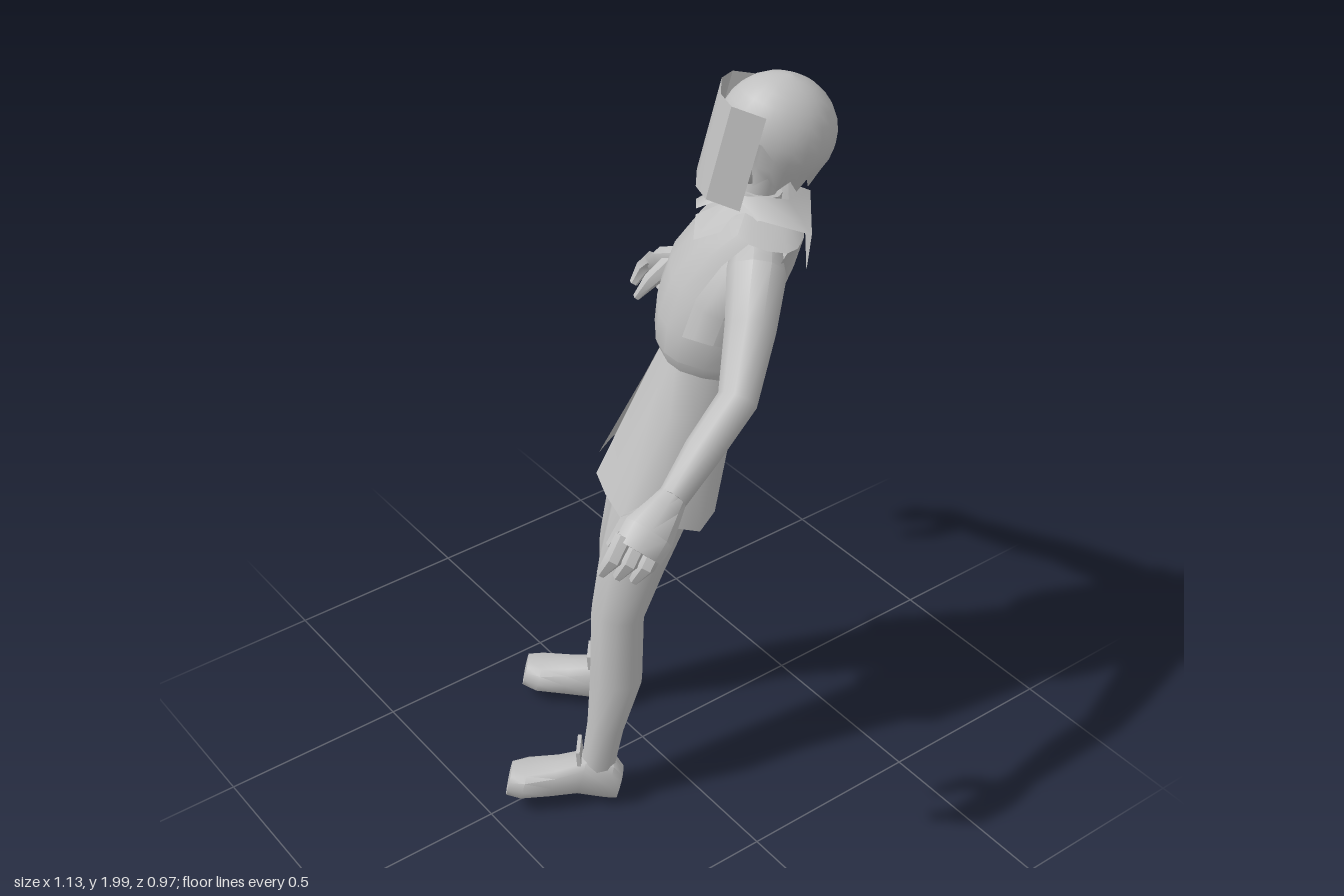
import * as THREE from 'three';
import { toCreasedNormals } from 'three/addons/utils/BufferGeometryUtils.js';

const grey = new THREE.MeshStandardMaterial({ color: 0xbfbfbf, side: THREE.DoubleSide });
grey.name = 'plain grey';

const V = (x, y, z) => new THREE.Vector3(x, y, z);

// Skin a list of equal-length rings; skip(i, j) leaves a quad open.
function loft(rings, { closed = true, skip = () => false, crease = 0.8 } = {}) {
  const n = rings[0].length;
  const pos = rings.flat().flatMap((p) => [p.x, p.y, p.z]);
  const index = [];
  for (let i = 0; i < rings.length - 1; i++) {
    for (let j = 0; j < (closed ? n : n - 1); j++) {
      if (skip(i, j)) continue;
      const a = i * n + j, b = i * n + ((j + 1) % n);
      index.push(a, b, b + n, a, b + n, a + n);
    }
  }
  if (closed) {
    [0, rings.length - 1].forEach((r, end) => {
      const c = V(0, 0, 0);
      rings[r].forEach((p) => c.addScaledVector(p, 1 / n));
      const k = pos.length / 3;
      pos.push(c.x, c.y, c.z);
      for (let j = 0; j < n; j++) {
        const a = r * n + j, b = r * n + ((j + 1) % n);
        if (end) index.push(k, a, b); else index.push(k, b, a);
      }
    });
  }
  const g = new THREE.BufferGeometry();
  g.setAttribute('position', new THREE.Float32BufferAttribute(pos, 3));
  g.setIndex(index);
  return toCreasedNormals(g, crease);
}

// Rings across a path of [x, y, z, ru, rv]; power below 1 squares the section,
// and a fixed axis keeps all rings parallel.
function limb(path, { sides = 10, ref = V(1, 0, 0), power = 1, axis, ...rest } = {}) {
  const pts = path.map((p) => V(p[0], p[1], p[2]));
  const bend = (c) => Math.sign(c) * Math.abs(c) ** power;
  const rings = path.map(([, , , ru, rv = ru], i) => {
    const along = pts[Math.min(i + 1, pts.length - 1)].clone().sub(pts[Math.max(i - 1, 0)]);
    const t = axis ?? along.normalize();
    const u = ref.clone().addScaledVector(t, -t.dot(ref)).normalize();
    const v = t.clone().cross(u);
    return Array.from({ length: sides }, (_, j) => {
      const a = (j / sides) * Math.PI * 2;
      return pts[i].clone().addScaledVector(u, ru * bend(Math.cos(a))).addScaledVector(v, rv * bend(Math.sin(a)));
    });
  });
  return loft(rings, rest);
}

// Level stack of [y, centre z, half width, half depth]
const stack = (rows, opt) => limb(
  rows.map(([y, cz, rx, rz]) => [0, y, cz, rx, rz]), { sides: 12, axis: V(0, 1, 0), ...opt });

// Open sheet: each row lists the left half up to the middle; the right half mirrors it.
const sheet = (rows, crease) => loft(
  rows.map((half) => [
    ...half.map(([x, y, z]) => V(x, y, z)),
    ...half.slice().reverse().map(([x, y, z]) => V(-x, y, z)),
  ]), { closed: false, crease });

export function createModel() {
  const model = new THREE.Group();
  const figure = new THREE.Group();
  figure.name = 'figure';
  model.add(figure);
  const add = (name, geometry) => {
    const m = new THREE.Mesh(geometry, grey);
    m.name = name;
    figure.add(m);
    return m;
  };

  // Torso under the clothes
  add('torso', stack([
    [0.92, 0.02, 0.1, 0.07], [1.0, 0.02, 0.15, 0.1], [1.15, 0.01, 0.145, 0.09], [1.3, 0.01, 0.14, 0.085],
    [1.45, 0, 0.15, 0.1], [1.6, -0.03, 0.15, 0.08], [1.67, -0.035, 0.1, 0.06],
  ]));

  // Short sleeveless vest with armholes and broad shoulders
  add('vest', stack([
    [1.3, 0.01, 0.172, 0.112], [1.33, 0.015, 0.185, 0.127], [1.4, 0.018, 0.188, 0.134], [1.5, 0.01, 0.178, 0.134],
    [1.6, -0.018, 0.182, 0.118], [1.685, -0.045, 0.215, 0.09], [1.71, -0.035, 0.1, 0.06],
  ], {
    sides: 16, power: 0.72, crease: 0.6,
    skip: (i, j) => i >= 2 && i <= 4 && [15, 0, 7, 8].includes(j),
  }));

  // Flared skirt, slit at the front
  add('skirt', sheet([
    [1.32, 0, 0.1, 0.145, 0.05, 0.135, -0.06, -0.09],
    [1.17, 0.004, 0.13, 0.168, 0.06, 0.155, -0.07, -0.1],
    [0.89, 0.046, 0.186, 0.22, 0.112, 0.2, -0.085, -0.12],
  ].map(([y, gap, fz, w, cz, bw, bz, back]) => [
    [gap, y, fz], [w * 0.6, y, fz * 0.6 + cz * 0.4], [w, y, cz], [w * 0.98, y, (cz + bz) / 2],
    [bw, y, bz], [bw * 0.5, y, back],
  ]), 1.3));

  // Wide collar with two lapels and a square back flap
  add('collar', sheet([
    [[0.012, 1.67, 0.07], [0.05, 1.72, 0.045], [0.065, 1.74, -0.01], [0.045, 1.74, -0.08]],
    [[0.015, 1.635, 0.115], [0.105, 1.615, 0.113], [0.12, 1.708, -0.02], [0.115, 1.7, -0.145]],
  ]));
  add('collarFlap', sheet([[[0.11, 1.7, -0.145]], [[0.11, 1.605, -0.158]]]));

  // Neck, choker, head
  add('neck', stack([[1.62, -0.01, 0.06, 0.06], [1.72, -0.005, 0.05, 0.05], [1.82, 0, 0.05, 0.055]]));
  add('neckBand', stack([[1.705, -0.005, 0.064, 0.066], [1.735, -0.005, 0.06, 0.062]]));
  add('face', stack([
    [1.735, 0.065, 0.03, 0.03], [1.76, 0.045, 0.06, 0.06], [1.81, 0.025, 0.085, 0.085],
    [1.88, 0.015, 0.095, 0.1], [1.95, 0.01, 0.085, 0.09],
  ]));

  // Hair cap with a jagged lower edge, trimmed above the face
  const hair = new THREE.SphereGeometry(1, 24, 10, 0, Math.PI * 2, 0, Math.PI * 0.72);
  const hp = hair.attributes.position;
  for (let i = 0; i < hp.count; i++) {
    const jag = i >= hp.count - 25 && i % 2 ? -0.2 : 0;
    const front = hp.getZ(i) > 0.25 && hp.getY(i) < 0;
    hp.setXYZ(i, hp.getX(i) * 0.115, 1.885 + (front ? 0 : hp.getY(i) + jag) * 0.135, hp.getZ(i) * 0.138 - 0.014);
  }
  hair.computeVertexNormals();
  add('hair', hair);

  // Curved face visor
  add('visor', sheet([1.72, 1.955].map((y) => [
    [0.122, y, 0.03], [0.1, y, 0.11], [0.045, y, 0.135],
  ]), 0.6));

  for (const s of [1, -1]) {
    const side = s > 0 ? 'left' : 'right';
    const part = (name, path, opt) => add(side + name, limb(path.map(([x, ...r]) => [x * s, ...r]), opt));
    const acrossZ = { ref: V(0, 0, 1) };

    // Arm and hand
    part('Arm', [
      [0.11, 1.63, -0.035, 0.06], [0.175, 1.605, -0.04, 0.07], [0.27, 1.515, -0.05, 0.06],
      [0.392, 1.395, -0.052, 0.047], [0.48, 1.3, 0.002, 0.044], [0.568, 1.218, 0.048, 0.034],
    ], acrossZ);
    part('Palm', [
      [0.555, 1.23, 0.042, 0.03], [0.59, 1.2, 0.06, 0.042, 0.034], [0.635, 1.16, 0.085, 0.06, 0.036],
      [0.663, 1.122, 0.1, 0.058, 0.03],
    ], { ...acrossZ, sides: 8 });
    for (let k = 0; k < 3; k++) {
      const z = 0.062 + 0.037 * k;
      part('Finger' + (k + 1), [
        [0.65, 1.145, z, 0.022], [0.68, 1.1, z + 0.014, 0.021], [0.668, 1.048, z + 0.03, 0.012],
      ], { ...acrossZ, sides: 6 });
    }
    part('Thumb', [
      [0.595, 1.185, 0.08, 0.028], [0.565, 1.125, 0.13, 0.022], [0.575, 1.06, 0.155, 0.011],
    ], { ...acrossZ, sides: 6 });

    // Leg
    part('Leg', [
      [0.095, 1.02, 0.03, 0.09, 0.09], [0.114, 0.87, 0.04, 0.1, 0.1], [0.138, 0.72, 0.05, 0.086, 0.086],
      [0.16, 0.57, 0.052, 0.075, 0.07], [0.177, 0.38, 0.012, 0.07, 0.07], [0.189, 0.22, 0.004, 0.053, 0.05],
      [0.197, 0.07, -0.006, 0.042, 0.045],
    ]);

    // Shoe with a flat sole, and its ankle flap
    part('Shoe', [
      [0.197, 0.042, -0.075, 0.034, 0.044], [0.197, 0.056, -0.045, 0.044, 0.06], [0.2, 0.054, 0.03, 0.047, 0.06],
      [0.212, 0.03, 0.1, 0.054, 0.05], [0.222, 0.01, 0.175, 0.06, 0.042], [0.228, 0.004, 0.215, 0.048, 0.034],
    ], { power: 0.7, sides: 12, axis: V(0, 0, 1) });
    const flap = add(side + 'AnkleFlap', new THREE.BoxGeometry(0.075, 0.045, 0.01));
    flap.position.set(0.2 * s, 0.122, 0.052);
    flap.rotation.x = 0.3;
  }

  // Turned to one side and leaning back
  const deg = Math.PI / 180;
  figure.rotation.set(-13 * deg, -40 * deg, 2 * deg, 'YXZ');
  figure.position.set(-0.051, 0.032, 0.128);
  return model;
}
